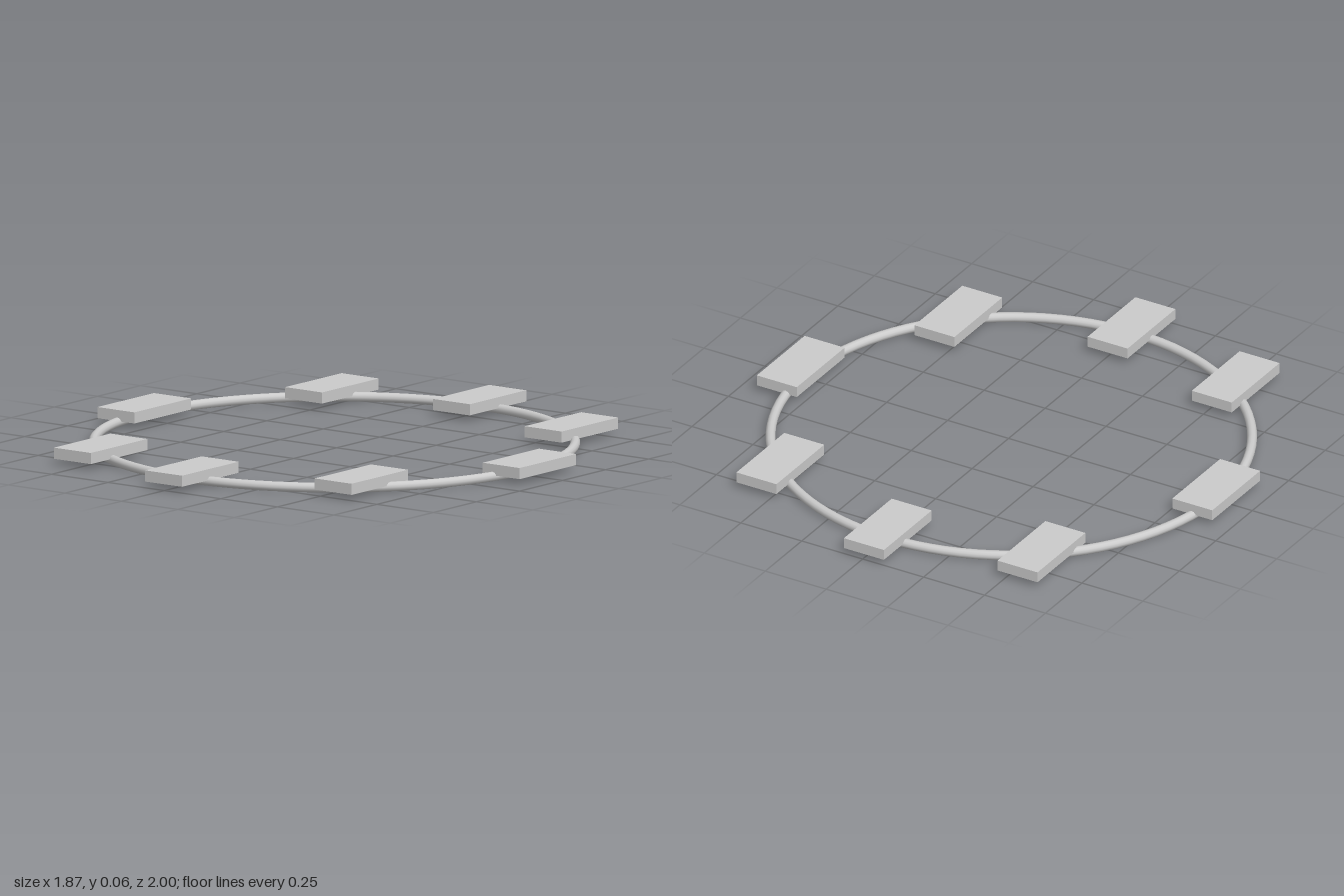
import * as THREE from 'three';

export function createModel() {
  const model = new THREE.Group();
  const material = new THREE.MeshStandardMaterial({ color: 0xcccccc });

  // Thin round hoop lying on the ground
  const tube = 0.0175;
  const ring = new THREE.Mesh(new THREE.TorusGeometry(0.848, tube, 12, 96), material);
  ring.name = 'ring';
  ring.rotation.x = -Math.PI / 2;
  ring.position.set(-0.016, tube, -0.008);
  model.add(ring);

  // Eight slabs resting on the hoop, all pointing along z: [x, z]
  const spots = [
    [-0.005, -0.836], [0.56, -0.629], [0.853, 0], [0.56, 0.591],
    [-0.005, 0.834], [-0.517, 0.693], [-0.852, 0], [-0.551, -0.695],
  ];
  const slabGeometry = new THREE.BoxGeometry(0.164, 0.04, 0.328);
  const slabs = new THREE.Group();
  slabs.name = 'slabs';
  spots.forEach(([x, z], i) => {
    const slab = new THREE.Mesh(slabGeometry, material);
    slab.name = `slab${i + 1}`;
    slab.position.set(x, 0.042, z);
    slabs.add(slab);
  });
  model.add(slabs);

  return model;
}
